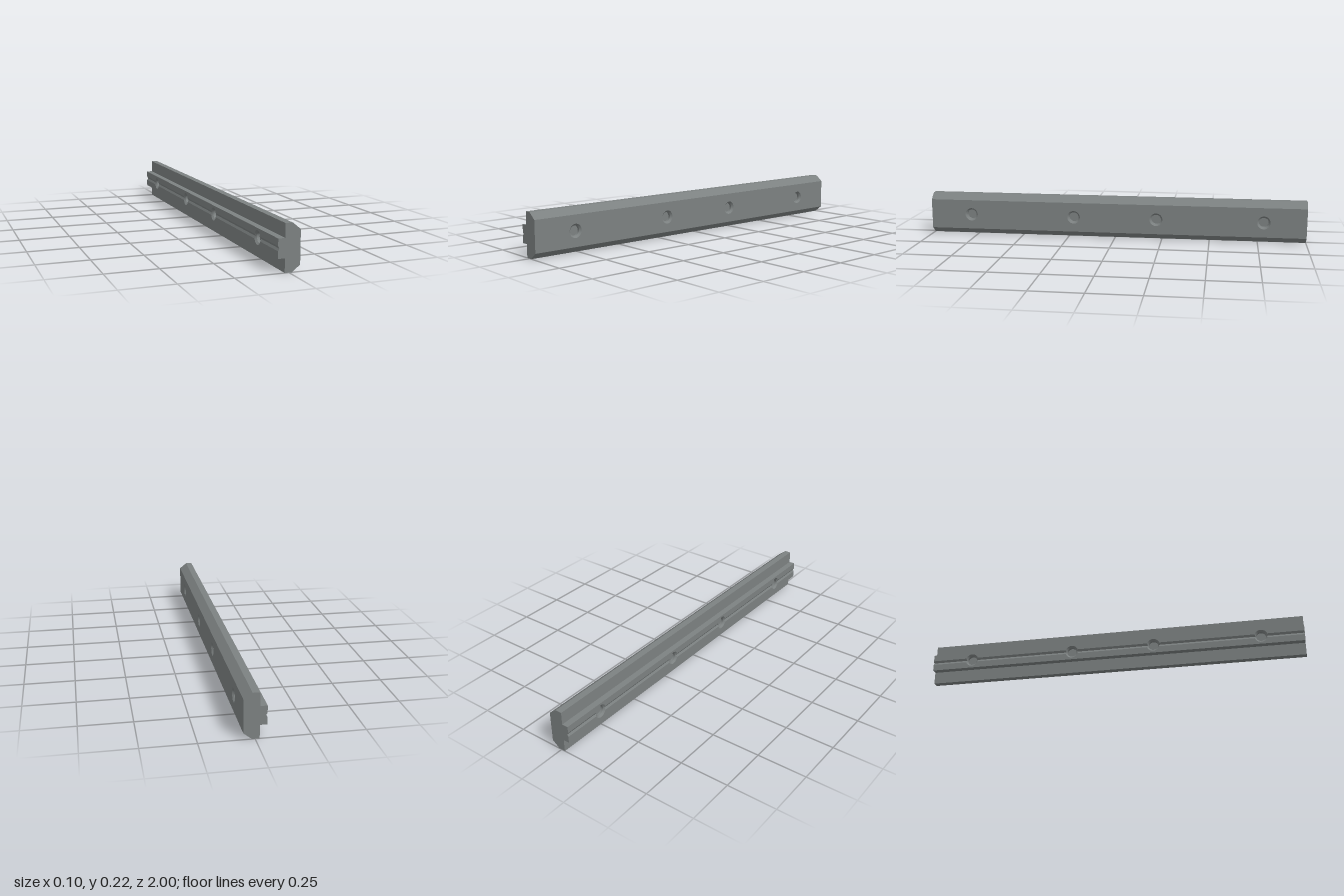
import * as THREE from 'three';
import { mergeGeometries } from 'three/addons/utils/BufferGeometryUtils.js';

const MID = 0.109, SIDE = 0.0525;           // hole height, half thickness
const RIM = 0.034, BORE = 0.025;            // countersink and bore radii
const GROOVE = 0.011, DEPTH = 0.006;        // V groove half width and depth
const TONGUE = 0.0445;                      // tongue half height
const HOLES = [-0.78, -0.22, 0.22, 0.78];
const A0 = Math.asin(GROOVE / RIM);         // angle where rim leaves the groove

// Cross-section, counter-clockwise
const PROFILE = [
  [-0.02, 0], [0.014, 0], [SIDE, 0.031], [SIDE, 0.187], [0.014, 0.218], [-0.02, 0.218],
  [-0.02, MID + TONGUE], [-SIDE, MID + TONGUE], [-SIDE, MID + GROOVE], [-SIDE + DEPTH, MID],
  [-SIDE, MID - GROOVE], [-SIDE, MID - TONGUE], [-0.02, MID - TONGUE],
];
const HOLED_EDGES = [2, 7, 8, 9, 10];       // faces that carry holes

const grooveDepth = (v) => DEPTH * Math.max(0, 1 - Math.abs(v) / GROOVE);

// Point on the grooved side's countersink rim, as [z, y] about the hole
function rimPoint(a) {
  const r = RIM - grooveDepth(RIM * Math.sin(a));
  return [r * Math.cos(a), r * Math.sin(a)];
}

function arc(cx, from, to, n) {
  return Array.from({ length: n + 1 }, (_, i) => {
    const [u, v] = rimPoint(from + ((to - from) * i) / n);
    return new THREE.Vector2(cx + u, v);
  });
}

// Quads between two rings of points
function ribbon(a, b) {
  const pos = [], index = [];
  a.forEach((p, i) => {
    pos.push(...p, ...b[i]);
    if (i) index.push(2 * i - 2, 2 * i, 2 * i - 1, 2 * i - 1, 2 * i, 2 * i + 1);
  });
  const g = new THREE.BufferGeometry();
  g.setAttribute('position', new THREE.Float32BufferAttribute(pos, 3));
  g.setIndex(index);
  g.computeVertexNormals();
  return g;
}

// Flat pieces in (z, y) bent onto the grooved tongue face
function tonguePiece(points, flip) {
  const pts = points.map((p) => new THREE.Vector2(p.x, p.y * flip));
  const g = new THREE.ShapeGeometry(new THREE.Shape(pts));
  g.rotateY(-Math.PI / 2);
  const p = g.attributes.position;
  for (let i = 0; i < p.count; i++) {
    p.setX(i, -SIDE + grooveDepth(p.getY(i)));
    p.setY(i, p.getY(i) + MID);
  }
  g.computeVertexNormals();
  return g;
}

function tongueFace() {
  const parts = [], V = (x, y) => new THREE.Vector2(x, y);
  for (const flip of [1, -1]) {
    // Flat band with a bite at each hole
    const band = [V(-1, GROOVE)];
    HOLES.forEach((h) => band.push(...arc(h, Math.PI - A0, A0, 20)));
    // Keep the bite ends on the groove edge
    band.push(V(1, GROOVE), V(1, TONGUE), V(-1, TONGUE));
    parts.push(tonguePiece(band, flip));
    // Groove slopes between neighbouring holes
    for (let i = 0; i <= HOLES.length; i++) {
      const start = i ? arc(HOLES[i - 1], A0, 0, 4) : [V(-1, GROOVE), V(-1, 0)];
      const end = i < HOLES.length ? arc(HOLES[i], Math.PI, Math.PI - A0, 4) : [V(1, 0), V(1, GROOVE)];
      parts.push(tonguePiece([...start, ...end], flip));
    }
  }
  return mergeGeometries(parts);
}

export function createModel() {
  const model = new THREE.Group();
  const steel = new THREE.MeshStandardMaterial({ color: 0x7c8181, side: THREE.DoubleSide });
  steel.name = 'steel grey';
  const add = (name, geometry, parent = model) => {
    const mesh = new THREE.Mesh(geometry, steel);
    mesh.name = name;
    parent.add(mesh);
    return mesh;
  };

  // Long plain faces of the bar
  const sides = [];
  PROFILE.forEach(([x, y], i) => {
    if (HOLED_EDGES.includes(i)) return;
    const [x2, y2] = PROFILE[(i + 1) % PROFILE.length];
    sides.push(ribbon([[x, y, 1], [x, y, -1]], [[x2, y2, 1], [x2, y2, -1]]));
  });
  for (const g of sides) {
    // Wind every face outward
    const n = g.attributes.normal, p = g.attributes.position;
    const dx = p.getX(1) - p.getX(0), dy = p.getY(1) - p.getY(0);
    if (n.getX(0) * dy - n.getY(0) * dx < 0) {
      g.setIndex([...g.index.array].reverse());
      g.computeVertexNormals();
    }
  }
  add('barSides', mergeGeometries(sides));

  // End caps
  const section = new THREE.ShapeGeometry(new THREE.Shape(PROFILE.map(([x, y]) => new THREE.Vector2(x, y))));
  add('frontEnd', section).position.z = 1;
  const back = section.clone();
  back.setIndex([...back.index.array].reverse());
  back.computeVertexNormals();
  add('backEnd', back).position.z = -1;

  // Broad face with round holes
  const broad = new THREE.Shape([[-1, 0.031], [1, 0.031], [1, 0.187], [-1, 0.187]].map((p) => new THREE.Vector2(...p)));
  HOLES.forEach((h) => broad.holes.push(new THREE.Path().absarc(h, MID, RIM, 0, Math.PI * 2, true)));
  add('broadFace', new THREE.ShapeGeometry(broad, 24).rotateY(Math.PI / 2)).position.x = SIDE;

  add('grooveFace', tongueFace());

  // Countersinks, bores and recessed plugs
  const stops = [[0, A0, 4], [A0, Math.PI - A0, 20], [Math.PI - A0, Math.PI + A0, 8],
    [Math.PI + A0, 2 * Math.PI - A0, 20], [2 * Math.PI - A0, 2 * Math.PI, 4]];
  const angles = [0];
  stops.forEach(([a, b, n]) => { for (let i = 1; i <= n; i++) angles.push(a + ((b - a) * i) / n); });
  const circle = (x, r) => angles.map((a) => [x, r * Math.sin(a), r * Math.cos(a)]);
  const lip = SIDE - (RIM - BORE);
  const grooveRim = angles.map((a) => {
    const [z, y] = rimPoint(a);
    return [-SIDE + grooveDepth(y), y, z];
  });
  const countersinkBack = ribbon(circle(-lip, BORE), grooveRim);
  const countersinkFront = ribbon(circle(SIDE, RIM), circle(lip, BORE));
  const bore = ribbon(circle(lip, BORE), circle(-lip, BORE));
  const plug = new THREE.CylinderGeometry(BORE, BORE, 0.06, 48).rotateZ(Math.PI / 2);
  HOLES.forEach((z) => {
    const hole = new THREE.Group();
    hole.name = 'screwHole';
    hole.position.set(0, MID, z);
    add('grooveCountersink', countersinkBack, hole);
    add('broadCountersink', countersinkFront, hole);
    add('bore', bore, hole);
    add('plug', plug, hole);
    model.add(hole);
  });
  return model;
}
